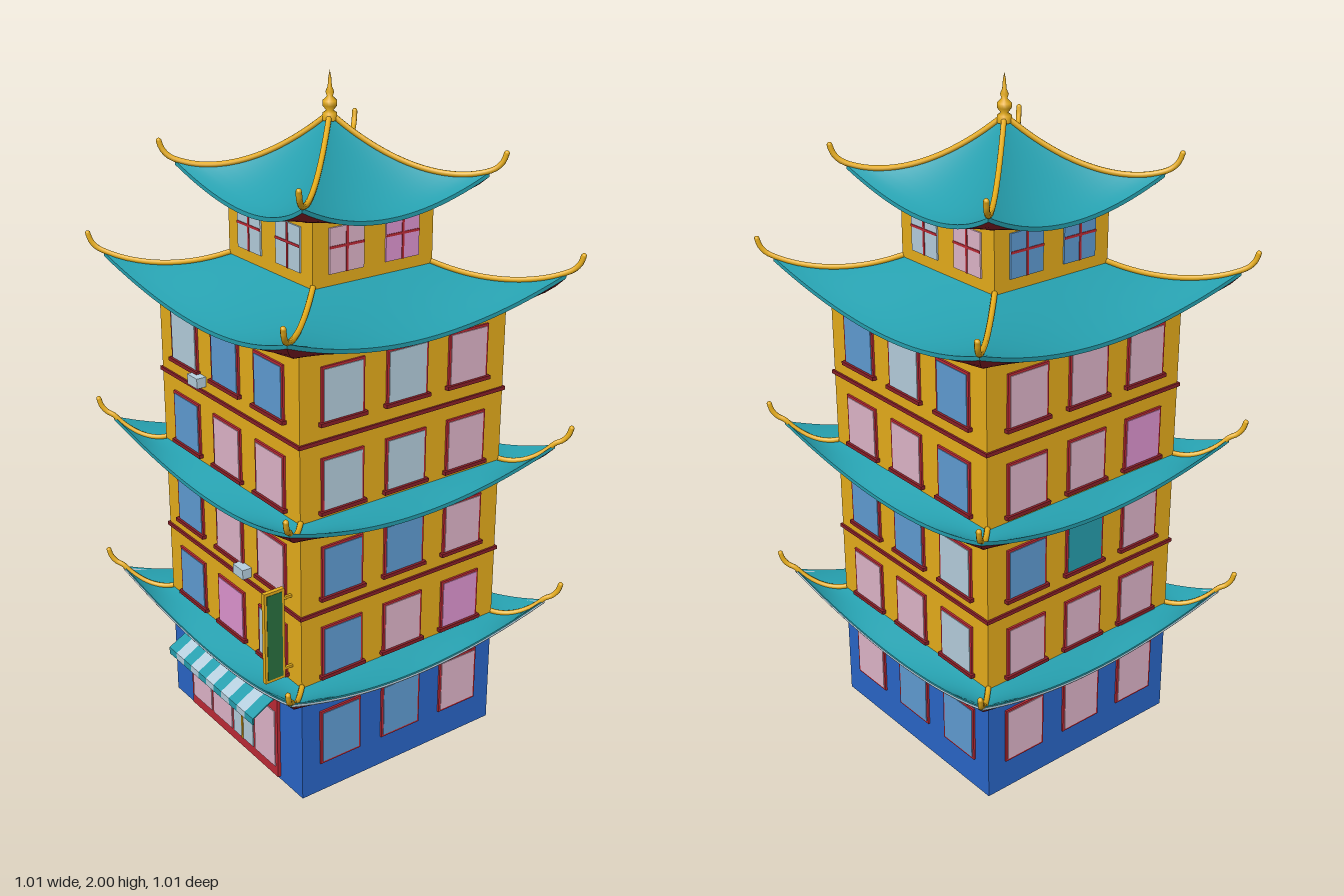
import * as THREE from 'three';

const mat = (name, color) => {
  const m = new THREE.MeshStandardMaterial({ color });
  m.name = name;
  return m;
};
const M = {
  yellow: mat('golden yellow', 0xeab01c),
  teal: mat('teal tile', 0x26a0af),
  blue: mat('base blue', 0x2a66c8),
  red: mat('trim red', 0xbe2a36),
  maroon: mat('soffit maroon', 0x8a1f28),
  sky: mat('sky glass', 0x609dd4),
  pale: mat('pale glass', 0xb6cfde),
  pink: mat('pink glass', 0xe0b6ca),
  orchid: mat('orchid glass', 0xe096d2),
  green: mat('sign green', 0x2a7040),
};
const GLASS = { b: M.sky, p: M.pale, k: M.pink, o: M.orchid, t: M.teal };
const WALL = 0.352, TOWER = 0.203;

function add(parent, name, geo, material, x = 0, y = 0, z = 0) {
  const m = new THREE.Mesh(geo, material);
  m.name = name;
  m.position.set(x, y, z);
  parent.add(m);
  return m;
}
const box = (parent, name, material, w, h, d, x, y, z) =>
  add(parent, name, new THREE.BoxGeometry(w, h, d), material, x, y, z);

// Point on one side of a curved roof: s runs along the eave, t from wall to eave
function roofPoint(r, s, t) {
  const w = r.inner + (r.outer - r.inner) * t;
  return new THREE.Vector3(
    s * w,
    r.eave + r.rise * Math.pow(1 - t, r.power) + r.lift * t * t * s * s,
    w - r.bow * t * (1 - s * s)
  );
}

// Bend a plane by a rule; u in -1..1, v is 0 at the top and 1 at the bottom
function sheet(rows, rule) {
  const g = new THREE.PlaneGeometry(2, 1, 24, rows);
  const p = g.attributes.position;
  for (let i = 0; i < p.count; i++) {
    const q = rule(p.getX(i), 0.5 - p.getY(i));
    p.setXYZ(i, q.x, q.y, q.z);
  }
  g.computeVertexNormals();
  return g;
}

function roof(parent, name, r) {
  const group = new THREE.Group();
  group.name = name;
  parent.add(group);
  const thick = 0.012;
  const under = { ...r, inner: r.wall, rise: 0.035, power: 1.2, eave: r.eave - thick };
  const tiles = sheet(12, (s, v) => roofPoint(r, s, v));
  const edge = sheet(1, (s, v) => roofPoint(r, s, 1).add(new THREE.Vector3(0, -thick * v, 0)));
  const soffit = sheet(6, (s, v) => roofPoint(under, s, 1 - v));

  // Ridge follows the corner, then curls up past the eave
  const ridge = [];
  for (let i = 0; i <= 8; i++) ridge.push(roofPoint(r, 1, i / 8).add(new THREE.Vector3(0, 0.004, 0)));
  const c = ridge[8];
  for (const [out, up] of [[0.015, 0.011], [0.026, 0.029], [0.031, 0.05]])
    ridge.push(new THREE.Vector3(c.x + out, c.y + up, c.z + out));
  const tip = ridge[ridge.length - 1];
  const tube = new THREE.TubeGeometry(new THREE.CatmullRomCurve3(ridge), 40, 0.008, 8);

  // Pale piping under the eave edge
  let trim = null;
  if (r.trim) {
    const pts = [];
    for (let i = 0; i <= 16; i++) pts.push(roofPoint(r, i / 8 - 1, 1).add(new THREE.Vector3(0, -0.009, -0.003)));
    trim = new THREE.TubeGeometry(new THREE.CatmullRomCurve3(pts), 32, 0.005, 6);
  }
  for (let k = 0; k < 4; k++) {
    const side = new THREE.Group();
    side.name = 'roofSide';
    side.rotation.y = k * Math.PI / 2;
    group.add(side);
    add(side, 'roofTiles', tiles, M.teal);
    add(side, 'eaveEdge', edge, M.teal);
    add(side, 'soffit', soffit, M.maroon);
    add(side, 'cornerRidge', tube, M.yellow);
    add(side, 'ridgeTip', new THREE.SphereGeometry(0.008, 8, 6), M.yellow, tip.x, tip.y, tip.z);
    if (trim) add(side, 'eaveTrim', trim, M.pale);
  }
}

// Framed window with its back on the wall at depth z
function pane(parent, glass, x, y, w, h, z, sill) {
  box(parent, 'windowFrame', M.red, w, h, 0.008, x, y, z + 0.002);
  box(parent, 'windowGlass', glass, w - 0.014, h - 0.014, 0.004, x, y, z + 0.006);
  if (sill) box(parent, 'windowSill', M.maroon, w + 0.014, 0.011, 0.018, x, y - h / 2, z + 0.005);
}

// Glass colours per side (front, right, back, left), floors from bottom to top
const FLOORS = [0.472, 0.724, 0.988, 1.247];
const SIDES = [
  { base: '', floors: ['bop', 'bkk', 'bkk', 'pbb'], tower: 'pp' },
  { base: 'bbk', floors: ['bko', 'bbk', 'ppk', 'ppk'], tower: 'ko' },
  { base: 'kbb', floors: ['kkp', 'bbp', 'kkb', 'bpb'], tower: 'pk' },
  { base: 'kkk', floors: ['kkk', 'btk', 'kko', 'kkk'], tower: 'bb' },
];

function facade(parent, spec, k) {
  const g = new THREE.Group();
  g.name = 'facade';
  g.rotation.y = k * Math.PI / 2;
  parent.add(g);
  [...spec.base].forEach((c, i) => pane(g, GLASS[c], (i - 1) * 0.22, 0.187, 0.142, 0.178, WALL, false));
  spec.floors.forEach((row, f) =>
    [...row].forEach((c, i) => pane(g, GLASS[c], (i - 1) * 0.215, FLOORS[f], 0.14, 0.16, WALL, true)));
  for (const y of [0.601, 1.116]) box(g, 'wallBelt', M.maroon, 2 * WALL + 0.012, 0.011, 0.012, 0, y, WALL);
  [...spec.tower].forEach((c, i) => {
    const x = (i - 0.5) * 0.188;
    box(g, 'towerGlass', GLASS[c], 0.114, 0.126, 0.006, x, 1.574, TOWER + 0.002);
    box(g, 'towerMullion', M.red, 0.007, 0.126, 0.004, x, 1.574, TOWER + 0.005);
    box(g, 'towerMullion', M.red, 0.114, 0.007, 0.004, x, 1.584, TOWER + 0.005);
  });
}

function shopFront(parent) {
  const g = new THREE.Group();
  g.name = 'shopFront';
  parent.add(g);
  box(g, 'shopFrame', M.red, 0.48, 0.27, 0.02, 0, 0.146, WALL);
  ['k', 'k', 'p', 'k'].forEach((c, i) =>
    box(g, 'shopGlass', GLASS[c], 0.106, 0.19, 0.005, (i - 1.5) * 0.117, 0.14, WALL + 0.0105));
  box(g, 'doorBar', M.yellow, 0.007, 0.18, 0.006, 0.056, 0.135, WALL + 0.013);
  // Striped awning with a short hanging edge
  const n = 11, w = 0.468 / n;
  for (let i = 0; i < n; i++) {
    const m = i % 2 ? M.pale : M.teal, x = (i - (n - 1) / 2) * w;
    box(g, 'awningStripe', m, w, 0.004, 0.095, x, 0.267, 0.399).rotation.x = 0.5;
    box(g, 'awningEdge', m, w, 0.022, 0.004, x, 0.235, 0.44);
  }
}

export function createModel() {
  const model = new THREE.Group();
  model.name = 'pagodaBuilding';

  // Walls
  box(model, 'groundFloor', M.blue, 2 * WALL, 0.35, 2 * WALL, 0, 0.175, 0);
  box(model, 'upperFloors', M.yellow, 2 * WALL, 1.035, 2 * WALL, 0, 0.8675, 0);
  box(model, 'towerRoom', M.yellow, 2 * TOWER, 0.25, 2 * TOWER, 0, 1.555, 0);
  SIDES.forEach((spec, k) => facade(model, spec, k));
  shopFront(model);

  // Roofs
  const skirt = { inner: 0.35, outer: 0.465, wall: 0.35, rise: 0.038, power: 1.2, lift: 0.096, bow: 0.035 };
  roof(model, 'lowerRoof', { ...skirt, eave: 0.34, trim: true });
  roof(model, 'middleRoof', { ...skirt, eave: 0.853 });
  roof(model, 'upperRoof', { ...skirt, inner: 0.2, eave: 1.367, rise: 0.112, power: 1.3 });
  roof(model, 'topRoof', {
    inner: 0.005, outer: 0.308, wall: 0.2, eave: 1.655, rise: 0.22, power: 1.57, lift: 0.083, bow: 0.032,
  });

  // Finial
  const profile = [[0.02, 1.865], [0.02, 1.885], [0.01, 1.892], [0.02, 1.905], [0.02, 1.918],
    [0.008, 1.93], [0.012, 1.942], [0.006, 1.955], [0.004, 1.98], [0, 2]];
  add(model, 'finial', new THREE.LatheGeometry(profile.map(([x, y]) => new THREE.Vector2(x, y)), 16), M.yellow);

  // Air conditioners
  for (const [x, y] of [[-0.135, 1.15], [0.08, 0.635]])
    box(model, 'airConditioner', M.pale, 0.052, 0.03, 0.03, x, y, 0.367);

  // Hanging sign: gold board with green panels on both faces
  box(model, 'signBoard', M.yellow, 0.013, 0.285, 0.066, 0.305, 0.547, 0.412);
  for (const s of [-1, 1]) box(model, 'signPanel', M.green, 0.002, 0.268, 0.05, 0.305 + s * 0.0065, 0.547, 0.412);
  for (const y of [0.43, 0.655]) box(model, 'signBracket', M.yellow, 0.008, 0.008, 0.04, 0.305, y, 0.365);

  return model;
}
